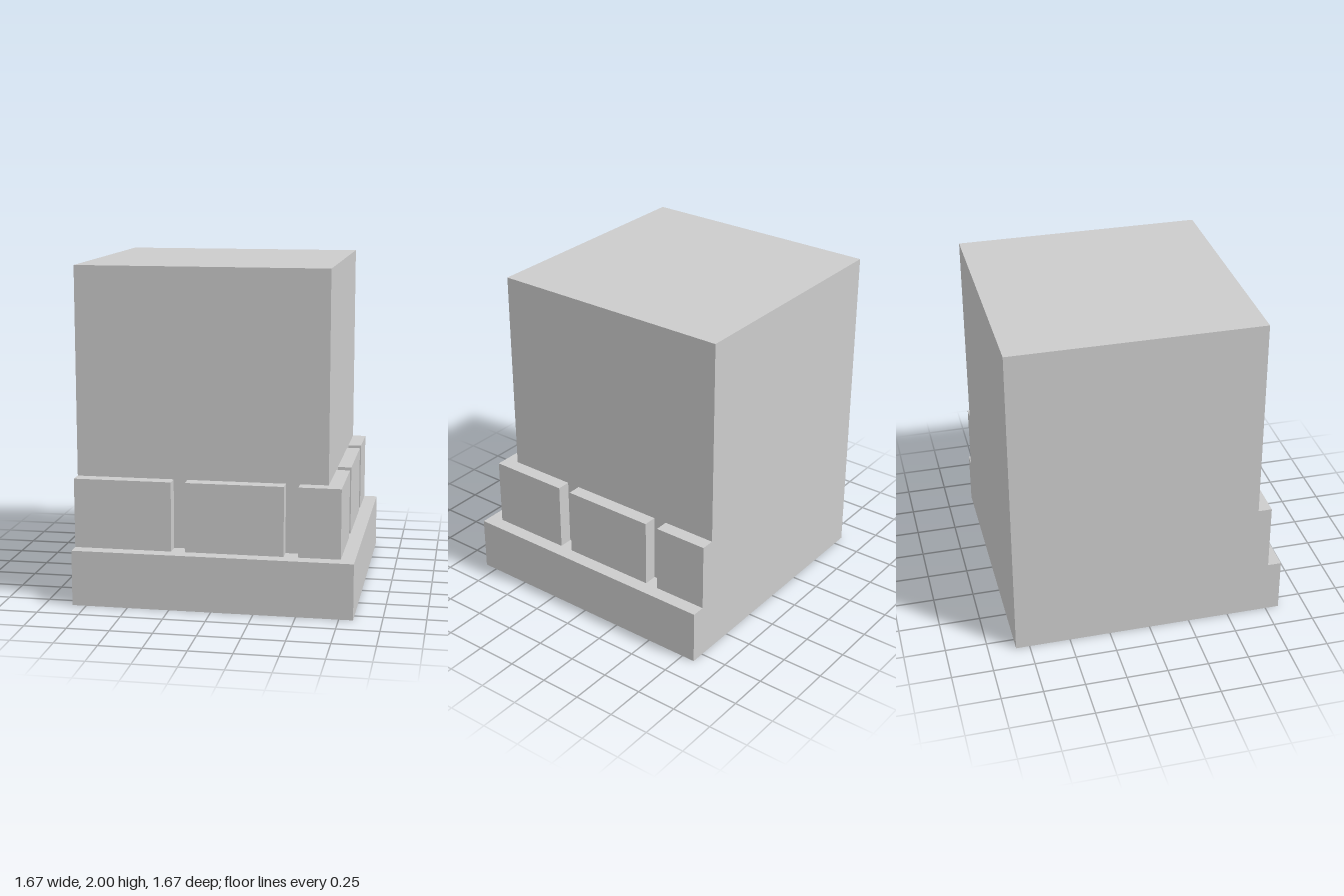
import * as THREE from 'three';

const U = 1 / 12; // modular unit: every dimension is a multiple of it

export function createModel() {
  const model = new THREE.Group();
  const material = new THREE.MeshStandardMaterial({ color: 0xcccccc, flatShading: true });

  // Box given by its extents, in modular units
  const block = (name, [x0, x1], [y0, y1], [z0, z1], parent = model) => {
    const geometry = new THREE.BoxGeometry((x1 - x0) * U, (y1 - y0) * U, (z1 - z0) * U);
    geometry.translate((x0 + x1) / 2 * U, (y0 + y1) / 2 * U, (z0 + z1) / 2 * U);
    const mesh = new THREE.Mesh(geometry, material);
    mesh.name = name;
    parent.add(mesh);
  };

  // Plinth and the wall core, flush at the back and at the right
  block('plinth', [-10, 10], [0, 4], [-10, 10]);
  block('wallCore', [-10, 8], [4, 24], [-10, 8]);

  // Course of facing stones along the front and the left side
  const course = new THREE.Group();
  course.name = 'stoneCourse';
  model.add(course);
  const height = [4, 9];
  for (const [x0, x1] of [[-10, -3], [-2, 5]]) block('frontStone', [x0, x1], height, [8, 9], course);
  for (const [z0, z1] of [[-10, -6], [-5, 2]]) block('sideStone', [8, 9], height, [z0, z1], course);

  // L-shaped cornerstone wrapping the exposed edge (plan drawn as x, -z)
  const plan = [[6, -9], [9, -9], [9, -3], [8, -3], [8, -8], [6, -8]];
  const shape = new THREE.Shape(plan.map(([x, y]) => new THREE.Vector2(x * U, y * U)));
  const geometry = new THREE.ExtrudeGeometry(shape, { depth: 5 * U, bevelEnabled: false });
  geometry.rotateX(-Math.PI / 2).translate(0, 4 * U, 0);
  const corner = new THREE.Mesh(geometry, material);
  corner.name = 'cornerStone';
  course.add(corner);

  return model;
}
